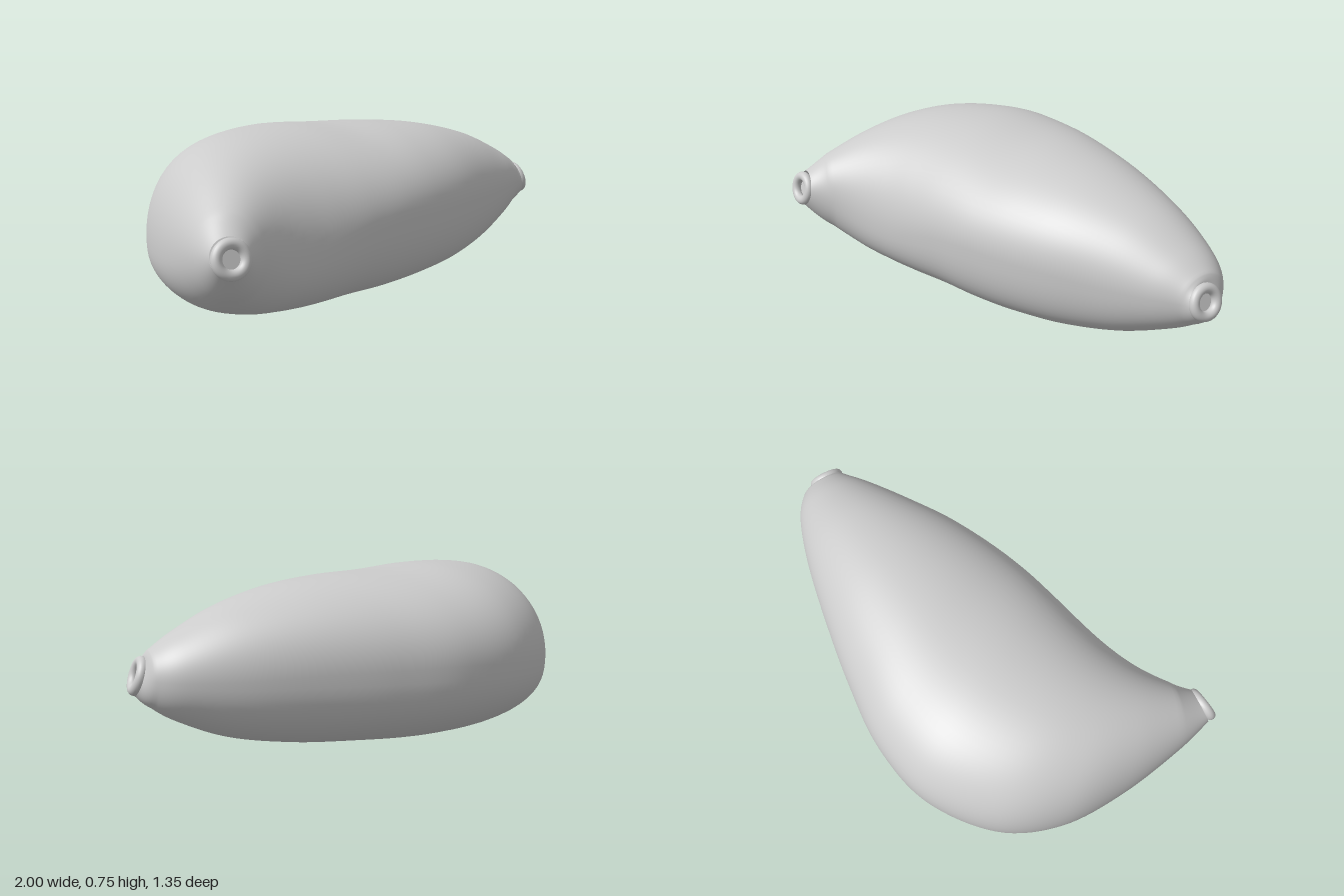
import * as THREE from 'three';

// Cross-sections from the front opening to the side opening:
// outer edge x, z | inner edge x, z | bottom, top, middle height
const SECTIONS = [
  [-0.93, 0.615, -0.775, 0.63, 0.32, 0.475, 0.40],
  [-0.967, 0.45, -0.69, 0.56, 0.185, 0.545, 0.36],
  [-0.998, 0.15, -0.56, 0.49, 0.08, 0.635, 0.30],
  [-0.98, -0.15, -0.42, 0.435, 0.03, 0.70, 0.29],
  [-0.86, -0.41, -0.28, 0.39, 0.005, 0.738, 0.32],
  [-0.60, -0.61, -0.12, 0.345, 0.0, 0.75, 0.36],
  [-0.30, -0.675, 0.06, 0.295, 0.0, 0.735, 0.38],
  [0.0, -0.655, 0.25, 0.225, 0.015, 0.725, 0.38],
  [0.30, -0.61, 0.45, 0.13, 0.04, 0.695, 0.38],
  [0.60, -0.55, 0.65, 0.01, 0.095, 0.63, 0.37],
  [0.82, -0.48, 0.82, -0.10, 0.18, 0.54, 0.37],
  [0.925, -0.41, 0.92, -0.175, 0.245, 0.475, 0.37],
  [0.962, -0.345, 0.962, -0.195, 0.30, 0.445, 0.373],
];

const RINGS = 96;
const SIDES = 72;

// Smooth interpolation of the section values
function sectionAt(t) {
  const n = SECTIONS.length - 1;
  const i = Math.min(Math.floor(t * n), n - 1);
  const f = t * n - i;
  const at = (k) => SECTIONS[Math.max(0, Math.min(n, k))];
  return SECTIONS[0].map((_, c) => {
    const p0 = at(i - 1)[c], p1 = at(i)[c], p2 = at(i + 1)[c], p3 = at(i + 2)[c];
    const m1 = (p2 - p0) / 2, m2 = (p3 - p1) / 2;
    return p1 + f * (m1 + f * (3 * (p2 - p1) - 2 * m1 - m2 + f * (2 * (p1 - p2) + m1 + m2)));
  });
}

function bodyGeometry() {
  const pos = [], index = [];
  for (let i = 0; i <= RINGS; i++) {
    const t = i / RINGS;
    const [ox, oz, ix, iz, bottom, top, mid] = sectionAt(t);
    const belly = Math.sin(Math.PI * t);
    // the ends lean back so the openings look slightly upward
    const frontLean = 0.27 * Math.max(0, 1 - 12 * t);
    const sideLean = 0.33 * Math.max(0, 12 * t - 11);
    for (let j = 0; j < SIDES; j++) {
      const a = (j / SIDES) * Math.PI * 2;
      const c = Math.cos(a), s = Math.sin(a);
      // full, boxy underside, lowest toward the inner edge
      const e = s < 0 ? 1 - 0.24 * belly : 1 - 0.04 * belly;
      const skew = (s < 0 ? -0.06 : 0.015) * belly * s * s;
      const across = 0.5 - 0.5 * Math.sign(c) * Math.abs(c) ** e - skew;
      const rise = Math.sign(s) * Math.abs(s) ** e;
      const dy = rise * (rise > 0 ? top - mid : mid - bottom);
      pos.push(
        ox + (ix - ox) * across - sideLean * dy,
        mid + dy,
        oz + (iz - oz) * across - frontLean * dy
      );
    }
  }
  for (let i = 0; i < RINGS; i++) {
    for (let j = 0; j < SIDES; j++) {
      const k = (j + 1) % SIDES;
      const a = i * SIDES + j, b = i * SIDES + k;
      index.push(a, b, a + SIDES, b, b + SIDES, a + SIDES);
    }
  }
  const geo = new THREE.BufferGeometry();
  geo.setAttribute('position', new THREE.Float32BufferAttribute(pos, 3));
  geo.setIndex(index);
  geo.computeVertexNormals();
  return geo;
}

export function createModel() {
  const material = new THREE.MeshStandardMaterial({ color: 0xcccccc, side: THREE.DoubleSide });
  const model = new THREE.Group();
  model.name = 'pouch';

  const body = new THREE.Mesh(bodyGeometry(), material);
  body.name = 'body';
  model.add(body);

  // Rolled rim with a closed floor inside
  const addOpening = (name, position, direction) => {
    const opening = new THREE.Group();
    opening.name = name;
    const rim = new THREE.Mesh(new THREE.TorusGeometry(0.058, 0.022, 20, 48), material);
    rim.name = 'rim';
    const floor = new THREE.Mesh(new THREE.CircleGeometry(0.06, 40), material);
    floor.name = 'floor';
    floor.position.z = -0.012;
    opening.add(rim, floor);
    opening.position.set(...position);
    opening.quaternion.setFromUnitVectors(
      new THREE.Vector3(0, 0, 1),
      new THREE.Vector3(...direction).normalize()
    );
    model.add(opening);
  };
  addOpening('frontOpening', [-0.853, 0.397, 0.635], [0.08, 0.27, 1]);
  addOpening('sideOpening', [0.965, 0.373, -0.27], [1, 0.33, 0.04]);

  return model;
}
